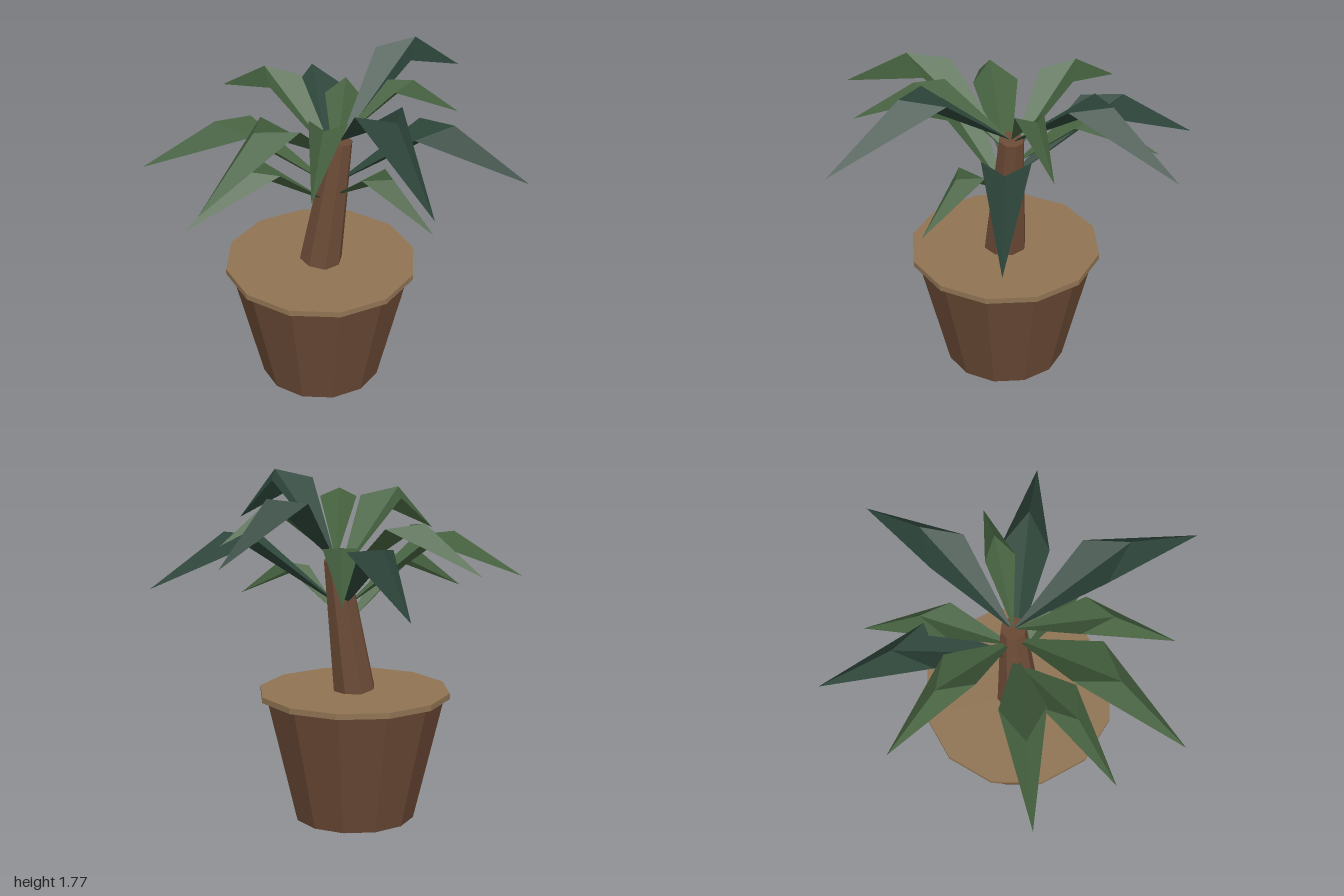
import * as THREE from 'three';

const material = (name, color, side = THREE.FrontSide) => {
  const m = new THREE.MeshStandardMaterial({ color, side, flatShading: true });
  m.name = name;
  return m;
};

export function createModel() {
  const group = new THREE.Group();
  const brown = material('brown', 0x6b4a36);
  const tan = material('tan', 0x8f7353);
  const oliveGreen = material('oliveGreen', 0x45613f, THREE.DoubleSide);
  const darkGreen = material('darkGreen', 0x2d453a, THREE.DoubleSide);

  const add = (name, geometry, mat) => {
    const mesh = new THREE.Mesh(geometry, mat);
    mesh.name = name;
    group.add(mesh);
    return mesh;
  };

  // Tapered pot with a flat disc of soil on top
  const potX = -0.06;
  add('pot', new THREE.CylinderGeometry(0.47, 0.315, 0.65, 12), brown).position.set(potX, 0.325, 0);
  add('soilDisc', new THREE.CylinderGeometry(0.5, 0.5, 0.03, 12), tan).position.set(potX, 0.665, 0);

  // Leaning trunk
  const trunkX = y => potX + 0.145 * (y - 0.68);
  const trunk = add('trunk', new THREE.CylinderGeometry(0.065, 0.112, 0.7, 8), brown);
  trunk.position.set(trunkX(1.027), 1.027, 0);
  trunk.rotation.z = -Math.atan(0.145);

  // Folded leaf: a V-shaped blade rising to a knee, then drooping to a point
  const leafGeometry = (tipX, tipY, tipZ, peakY) => {
    const reach = Math.hypot(tipX - 0.02, tipZ);
    const baseY = Math.min(peakY - 0.4 * reach, 1.37);
    const base = new THREE.Vector3(trunkX(baseY), baseY, 0);
    const tip = new THREE.Vector3(tipX, tipY, tipZ);
    const dir = new THREE.Vector3(tipX - base.x, 0, tipZ);
    const length = dir.length();
    dir.normalize();
    const across = new THREE.Vector3(dir.z, 0, -dir.x);
    const at = (t, y, side) => {
      const p = base.clone().addScaledVector(dir, t * length).addScaledVector(across, side * length);
      p.y = y;
      return p;
    };
    const ridge = at(0.61, peakY, 0);
    const left = at(0.425, peakY - 0.035 * length, 0.122);
    const right = at(0.425, peakY - 0.035 * length, -0.122);
    const geometry = new THREE.BufferGeometry().setFromPoints([
      base, ridge, left, base, right, ridge, ridge, tip, left, ridge, right, tip,
    ]);
    geometry.computeVertexNormals();
    return geometry;
  };

  // Leaves: tip x, y, z, height of the knee, colour
  const leaves = [
    [0.26, 1.47, 0.99, 1.775, darkGreen],
    [0.93, 1.21, 0.35, 1.51, darkGreen],
    [0.81, 1.45, -0.56, 1.74, darkGreen],
    [0.03, 1.23, -0.99, 1.51, darkGreen],
    [0.26, 1.27, -0.71, 1.5, oliveGreen],
    [-0.44, 1.37, -0.74, 1.6, oliveGreen],
    [0.65, 1.47, 0, 1.67, oliveGreen],
    [0.38, 1.12, 0.57, 1.32, oliveGreen],
    [-0.25, 1.47, 0.73, 1.68, oliveGreen],
    [-0.76, 1.41, 0.64, 1.68, oliveGreen],
    [-0.94, 1.25, -0.15, 1.5, oliveGreen],
    [-0.79, 1.135, 0.31, 1.365, oliveGreen],
  ];
  leaves.forEach(([x, y, z, peak, mat], i) => add(`leaf${i + 1}`, leafGeometry(x, y, z, peak), mat));

  return group;
}
